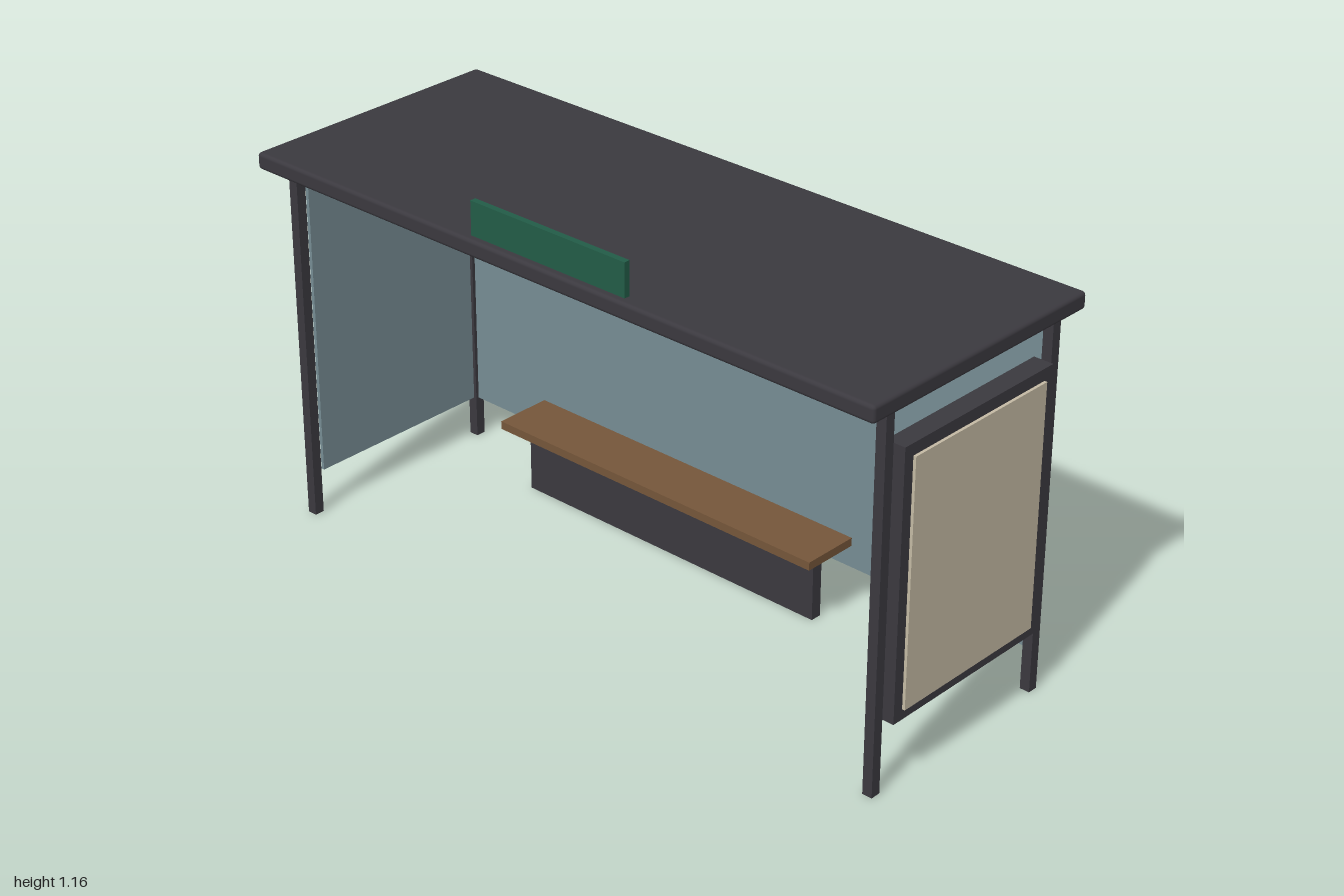
import * as THREE from 'three';
import { RoundedBoxGeometry } from 'three/addons/geometries/RoundedBoxGeometry.js';

const material = (name, color) => {
  const m = new THREE.MeshStandardMaterial({ color });
  m.name = name;
  return m;
};

export function createModel() {
  const model = new THREE.Group();
  model.name = 'busShelter';

  const metal = material('darkMetal', 0x3b393f);
  const glass = material('blueGreyGlass', 0x768c93);
  const wood = material('brownWood', 0x75563a);
  const paper = material('beigePoster', 0xc4baa4);
  const green = material('greenSign', 0x225c47);

  const add = (name, geometry, mat, x, y, z) => {
    const mesh = new THREE.Mesh(geometry, mat);
    mesh.name = name;
    mesh.position.set(x, y, z);
    model.add(mesh);
  };
  // Box given by its lower and upper limits on each axis
  const box = (name, mat, [x0, x1], [y0, y1], [z0, z1]) =>
    add(name, new THREE.BoxGeometry(x1 - x0, y1 - y0, z1 - z0), mat,
      (x0 + x1) / 2, (y0 + y1) / 2, (z0 + z1) / 2);

  // Roof slab with softened edges
  add('roof', new RoundedBoxGeometry(2, 0.046, 0.77, 2, 0.01), metal, 0, 1.043, 0);

  // Four corner posts
  for (const x of [-0.96, 0.96]) {
    for (const z of [-0.312, 0.293]) {
      box('post', metal, [x - 0.014, x + 0.014], [0, 1.03], [z - 0.014, z + 0.014]);
    }
  }

  // Back pane and left end pane
  box('backPane', glass, [-0.946, 0.946], [0.117, 1.012], [-0.317, -0.307]);
  box('endPane', glass, [-0.965, -0.955], [0.117, 1.012], [-0.298, 0.262]);

  // Poster case closing the other end, with a poster on both faces
  box('posterCase', metal, [0.93, 0.985], [0.181, 0.908], [-0.291, 0.251]);
  for (const x of [0.926, 0.989]) {
    box('poster', paper, [x - 0.004, x + 0.004], [0.21, 0.876], [-0.26, 0.221]);
  }

  // Bench
  box('benchSupport', metal, [-0.626, 0.372], [0, 0.192], [-0.223, -0.191]);
  box('benchSeat', wood, [-0.67, 0.413], [0.192, 0.215], [-0.29, -0.125]);

  // Sign standing on the front edge of the roof
  box('sign', green, [-0.25, 0.25], [1.06, 1.157], [0.347, 0.364]);

  return model;
}
